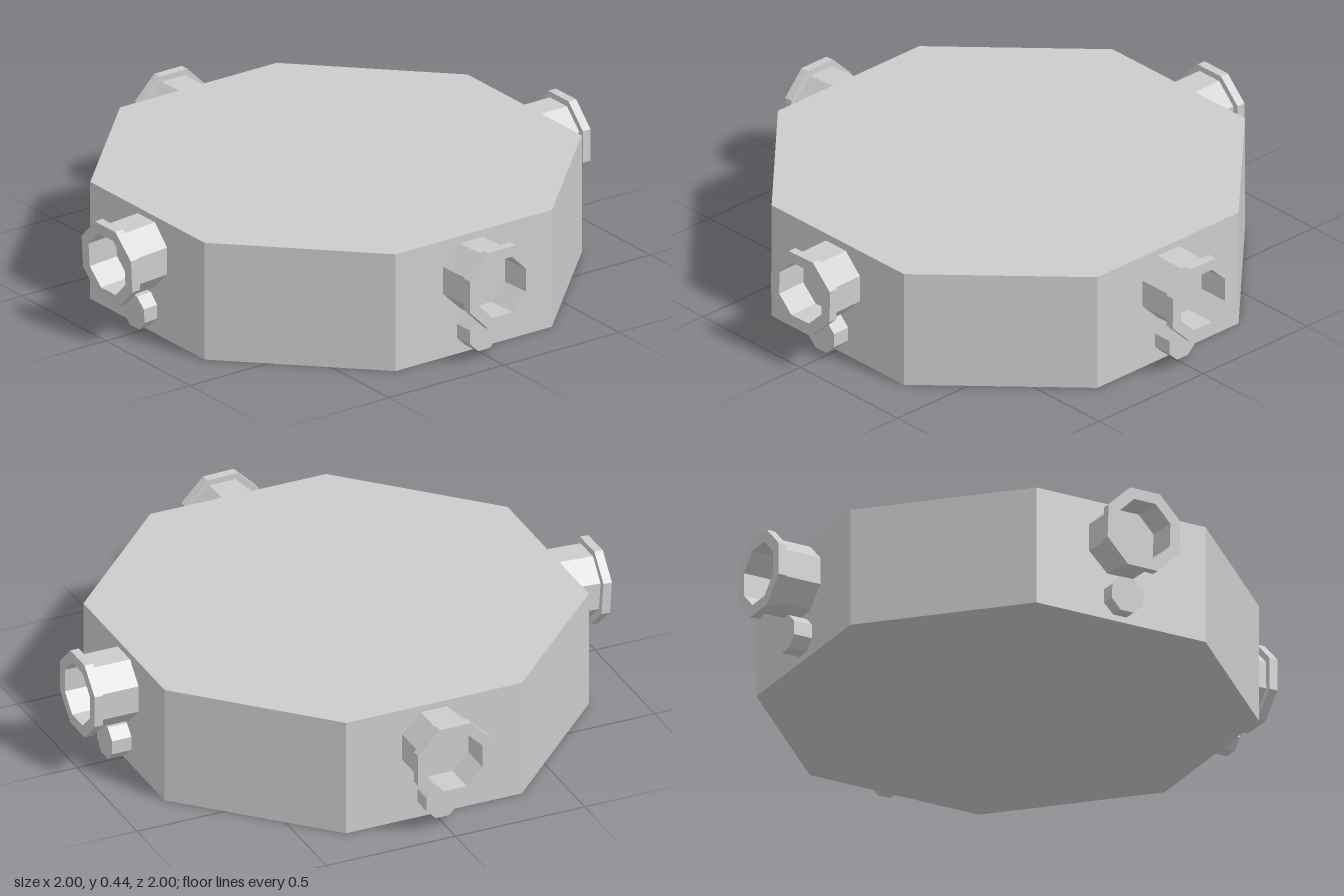
import * as THREE from 'three';

const material = new THREE.MeshStandardMaterial({ color: 0xcccccc, flatShading: true });
const CORNER = 1 / Math.cos(Math.PI / 8); // flat-to-centre distance -> corner radius

// Octagonal solid of revolution along +z, flats facing up; profile = [flat radius, z]
function octagonLathe(profile) {
  const points = profile.map(([r, z]) => new THREE.Vector2(r * CORNER, z));
  return new THREE.LatheGeometry(points, 8, Math.PI / 8).rotateX(Math.PI / 2);
}

function addMesh(parent, name, geometry) {
  const mesh = new THREE.Mesh(geometry, material);
  mesh.name = name;
  parent.add(mesh);
  return mesh;
}

export function createModel() {
  const model = new THREE.Group();
  model.name = 'octagonalHub';

  // Main eight-sided block
  const radius = 0.82 * CORNER;
  const body = addMesh(model, 'body',
    new THREE.CylinderGeometry(radius, radius, 0.445, 8, 1, false, Math.PI / 8));
  body.position.y = 0.2225;

  // Flanged pipe with a blind bore; z = 0 is the face of the block
  const portGeometry = octagonLathe([
    [0, -0.05], [0.123, -0.05], [0.123, 0.147], [0.145, 0.147],
    [0.145, 0.18], [0.105, 0.18], [0.105, 0.06], [0, 0.06],
  ]);
  // Small solid plug under each port
  const plugGeometry = octagonLathe([[0, -0.05], [0.063, -0.05], [0.063, 0.072], [0, 0.072]]);

  // Four fittings, two of them sitting slightly askew
  const fittings = [
    { name: 'front', turn: 0, pitch: 0.06, yaw: 0.01, shift: -0.005, y: 0.3, out: -0.007, plugOut: -0.015 },
    { name: 'left', turn: Math.PI / 2, pitch: -0.01, yaw: 0.035, shift: -0.01, y: 0.294, out: -0.004, plugOut: 0 },
    { name: 'back', turn: Math.PI, pitch: 0, yaw: 0, shift: 0, y: 0.297, out: 0, plugOut: 0.003 },
    { name: 'right', turn: -Math.PI / 2, pitch: 0, yaw: 0, shift: 0, y: 0.297, out: 0, plugOut: 0 },
  ];
  for (const f of fittings) {
    const fitting = new THREE.Group();
    fitting.name = f.name + 'Fitting';
    fitting.rotation.y = f.turn;

    const port = addMesh(fitting, f.name + 'Port', portGeometry);
    port.position.set(f.shift, f.y, 0.82 + f.out);
    port.rotation.set(f.pitch, f.yaw, 0);

    const plug = addMesh(fitting, f.name + 'Plug', plugGeometry);
    plug.position.set(f.shift, 0.087, 0.82 + f.plugOut);
    plug.rotation.set(f.pitch, f.yaw, 0);

    model.add(fitting);
  }
  return model;
}
